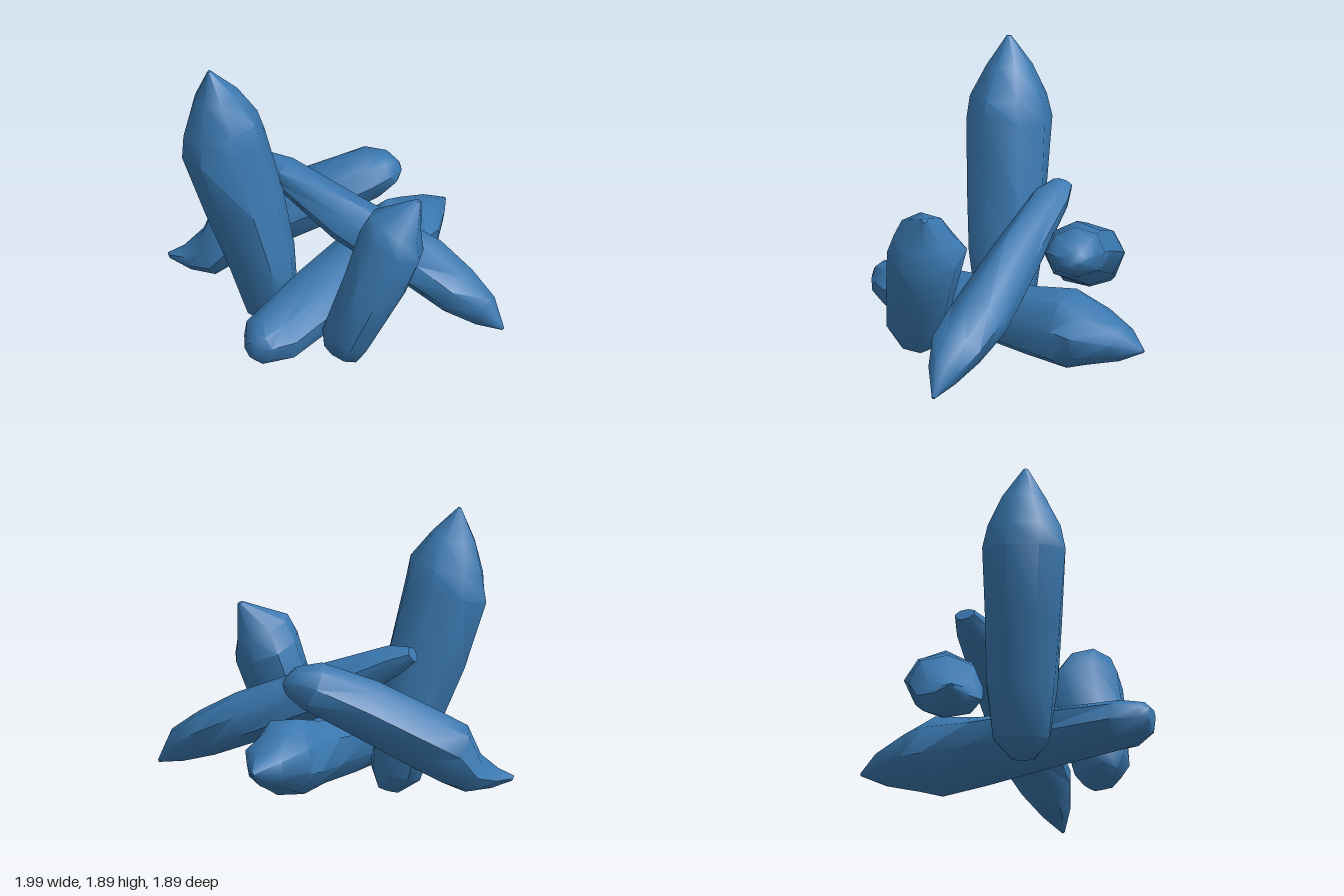
import * as THREE from 'three';
import { toCreasedNormals } from 'three/addons/utils/BufferGeometryUtils.js';

const SIDES = 8;

// Lofts one faceted crystal; each ring is [x, y, z, half width, half depth]
function crystalGeometry(rings, phase) {
  const centre = rings.map(([x, y, z]) => new THREE.Vector3(x, y, z));
  const axis = centre.at(-1).clone().sub(centre[0]).normalize();
  const u = new THREE.Vector3().crossVectors(axis, new THREE.Vector3(0, 1, 0)).normalize();
  const v = new THREE.Vector3().crossVectors(axis, u);
  const positions = [];
  const index = [];
  rings.forEach(([, , , a, b], i) => {
    for (let j = 0; j < SIDES; j++) {
      const angle = (j / SIDES) * Math.PI * 2 + phase;
      // Small regular wobble keeps the facets uneven, as in cut stone
      const r = 1.03 + 0.03 * Math.sin(j * 2.4 + i * 1.7 + phase);
      const p = centre[i].clone()
        .addScaledVector(u, Math.cos(angle) * a * r)
        .addScaledVector(v, Math.sin(angle) * b * r);
      positions.push(p.x, p.y, p.z);
    }
  });
  for (let i = 0; i < rings.length - 1; i++) {
    for (let j = 0; j < SIDES; j++) {
      const k = (j + 1) % SIDES;
      const a = i * SIDES + j, b = i * SIDES + k;
      index.push(a, b, a + SIDES, b, b + SIDES, a + SIDES);
    }
  }
  // End caps
  const last = (rings.length - 1) * SIDES;
  for (let j = 1; j < SIDES - 1; j++) {
    index.push(0, j + 1, j, last, last + j, last + j + 1);
  }
  const geometry = new THREE.BufferGeometry();
  geometry.setAttribute('position', new THREE.Float32BufferAttribute(positions, 3));
  geometry.setIndex(index);
  return toCreasedNormals(geometry, 0.85);
}

const crystals = {
  tallCrystal: [
    [-0.39, 0.02, -0.07, 0.08, 0.07],
    [-0.43, 0.13, -0.1, 0.19, 0.17],
    [-0.49, 0.5, -0.14, 0.24, 0.22],
    [-0.6, 0.9, -0.2, 0.26, 0.26],
    [-0.72, 1.34, -0.26, 0.28, 0.28],
    [-0.73, 1.5, -0.26, 0.25, 0.25],
    [-0.76, 1.7, -0.29, 0.15, 0.15],
    [-0.8, 1.89, -0.3, 0.015, 0.01],
  ],
  frontCrystal: [
    [-0.25, 0.06, 0.59, 0.07, 0.07],
    [-0.28, 0.1, 0.6, 0.13, 0.12],
    [-0.25, 0.21, 0.61, 0.19, 0.17],
    [-0.07, 0.6, 0.66, 0.23, 0.21],
    [0.05, 0.9, 0.68, 0.255, 0.22],
    [0.06, 1.03, 0.71, 0.18, 0.18],
    [0.2, 1.2, 0.76, 0.02, 0.02],
  ],
  lowCrystal: [
    [-0.93, 0.27, 0.59, 0.05, 0.06],
    [-0.88, 0.27, 0.58, 0.11, 0.11],
    [-0.75, 0.26, 0.49, 0.21, 0.15],
    [-0.2, 0.3, 0.2, 0.23, 0.19],
    [0.2, 0.33, 0.0, 0.24, 0.22],
    [0.5, 0.36, -0.16, 0.25, 0.26],
    [0.63, 0.36, -0.24, 0.24, 0.2],
    [0.84, 0.36, -0.37, 0.13, 0.11],
    [1.0, 0.36, -0.45, 0.01, 0.01],
  ],
  slenderCrystal: [
    [-0.3, 1.0, -0.46, 0.07, 0.05],
    [-0.23, 0.95, -0.35, 0.12, 0.1],
    [0.04, 0.73, 0.03, 0.16, 0.16],
    [0.39, 0.51, 0.46, 0.2, 0.17],
    [0.53, 0.39, 0.68, 0.18, 0.15],
    [0.65, 0.29, 0.84, 0.1, 0.11],
    [0.73, 0.18, 0.94, 0.01, 0.01],
  ],
  backCrystal: [
    [0.53, 0.88, -0.18, 0.05, 0.04],
    [0.48, 0.88, -0.19, 0.13, 0.1],
    [0.37, 0.84, -0.25, 0.19, 0.16],
    [0.05, 0.67, -0.41, 0.22, 0.19],
    [-0.28, 0.47, -0.62, 0.24, 0.2],
    [-0.46, 0.36, -0.71, 0.24, 0.2],
    [-0.57, 0.22, -0.75, 0.21, 0.13],
    [-0.7, 0.18, -0.81, 0.11, 0.07],
    [-0.8, 0.18, -0.88, 0.02, 0.02],
  ],
};

export function createModel() {
  const group = new THREE.Group();
  group.name = 'crystalCluster';
  const blue = new THREE.MeshStandardMaterial({ color: 0x3a78b0 });
  blue.name = 'crystalBlue';
  Object.entries(crystals).forEach(([name, rings], i) => {
    const mesh = new THREE.Mesh(crystalGeometry(rings, 0.3 + i * 0.5), blue);
    mesh.name = name;
    group.add(mesh);
  });
  // Rest the cluster on the ground
  const box = new THREE.Box3().setFromObject(group);
  group.children.forEach((mesh) => mesh.geometry.translate(0, -box.min.y, 0));
  return group;
}
